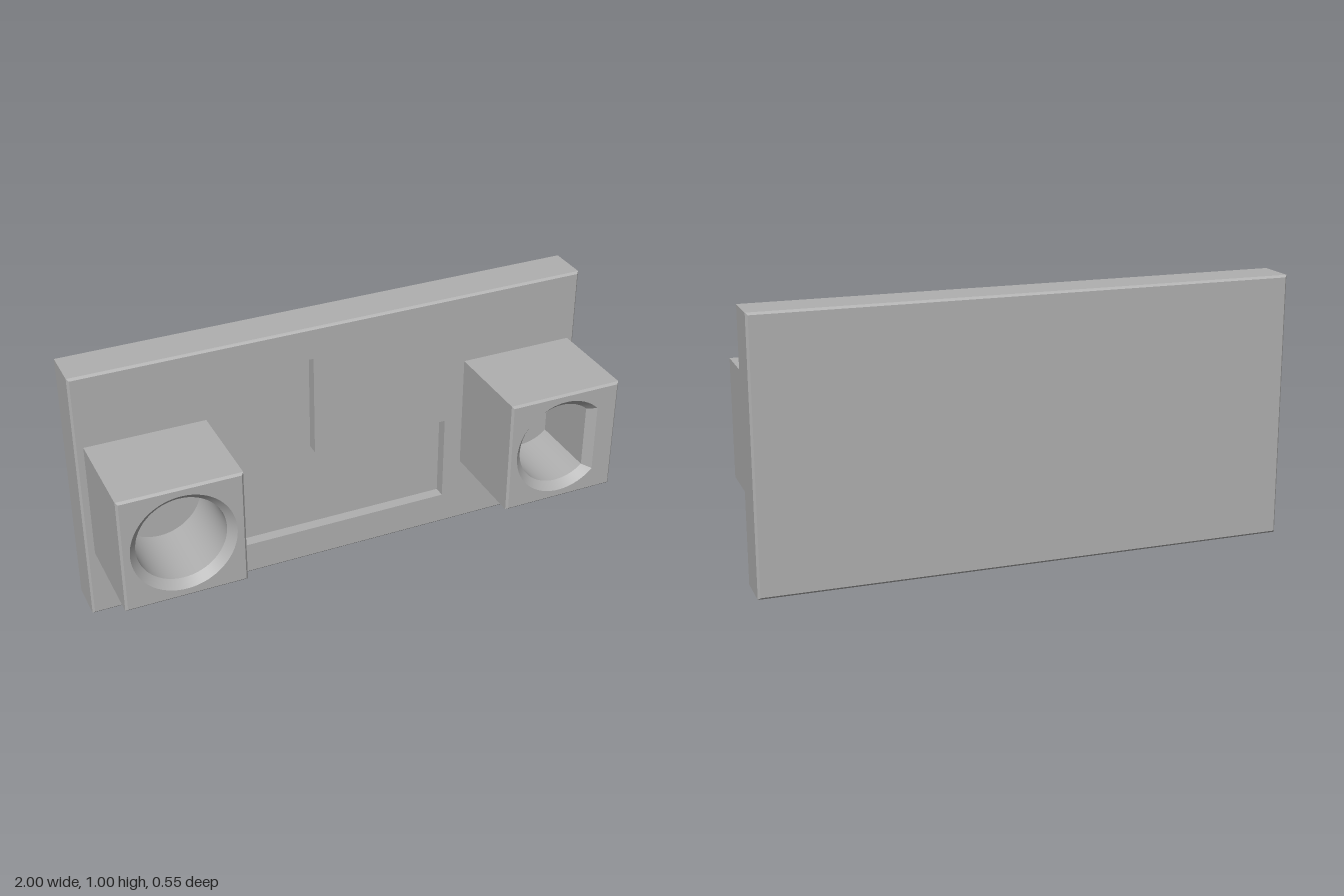
import * as THREE from 'three';
import { mergeGeometries, toCreasedNormals } from 'three/addons/utils/BufferGeometryUtils.js';

const BEVEL = 0.008;
const grey = new THREE.MeshStandardMaterial({ color: 0xb0b0b0 });
grey.name = 'plain grey';

// counter-clockwise rectangle, optionally shrunk on all sides
const rect = (x0, x1, y0, y1, s = 0) => [
  [x0 + s, y0 + s], [x1 - s, y0 + s], [x1 - s, y1 - s], [x0 + s, y1 - s],
];

// counter-clockwise circle, or a D cut off at cx + flat
function round(cx, cy, r, flat, n = 64) {
  const a = flat ? Math.acos(flat / r) : 0;
  const step = (2 * Math.PI - 2 * a) / (flat ? n - 1 : n);
  return Array.from({ length: n }, (_, i) => [
    cx + r * Math.cos(a + i * step), cy + r * Math.sin(a + i * step),
  ]);
}

// walls between successive [loop, z] rings, ordered front to back
function walls(rings, inward = false) {
  const pos = [];
  for (let k = 0; k < rings.length - 1; k++) {
    const [A, za] = rings[k], [B, zb] = rings[k + 1];
    for (let i = 0; i < A.length; i++) {
      const j = (i + 1) % A.length;
      const a = [...A[i], za], a2 = [...A[j], za], b = [...B[i], zb], b2 = [...B[j], zb];
      pos.push(...(inward ? [a, b2, b, a, a2, b2] : [a, b, b2, a, b2, a2]).flat());
    }
  }
  const g = new THREE.BufferGeometry();
  g.setAttribute('position', new THREE.Float32BufferAttribute(pos, 3));
  g.computeVertexNormals();
  return g;
}

// flat face looking forward, or backward
function face(loop, z, hole = null, back = false) {
  const v = (l) => l.map(([x, y]) => new THREE.Vector2(back ? -x : x, y));
  const shape = new THREE.Shape(v(loop));
  if (hole) shape.holes.push(new THREE.Path(v(hole)));
  let g = new THREE.ShapeGeometry(shape);
  if (back) g.rotateY(Math.PI);
  g.translate(0, 0, z);
  g = g.toNonIndexed();
  g.deleteAttribute('uv');
  return g;
}

// bevelled slab with a blind pocket; pocket = [loop, z] rings from mouth to floor
function pocketSlab(name, [x0, x1, y0, y1], zBack, zFront, pocket) {
  const big = rect(x0, x1, y0, y1), small = rect(x0, x1, y0, y1, BEVEL);
  const floor = pocket[pocket.length - 1];
  const geometry = mergeGeometries([
    face(small, zFront, pocket[0][0]),
    walls([[small, zFront], [big, zFront - BEVEL], [big, zBack + BEVEL], [small, zBack]]),
    walls(pocket, true),
    face(floor[0], floor[1]),
    face(small, zBack, null, true),
  ]);
  const mesh = new THREE.Mesh(toCreasedNormals(geometry, Math.PI / 7), grey);
  mesh.name = name;
  return mesh;
}

export function createModel() {
  const model = new THREE.Group();
  model.name = 'mountingPlate';
  const zPlate = -0.108, zFront = 0.275;

  // back plate with a shallow L-shaped recess
  const ell = [[-0.45, 0.13], [0.445, 0.13], [0.445, 0.475], [-0.1, 0.475], [-0.1, 0.875], [-0.45, 0.875]];
  model.add(pocketSlab('backPlate', [-1, 1, 0, 1], -0.275, zPlate, [[ell, zPlate], [ell, zPlate - 0.045]]));

  // socket blocks: a round bore and a D-shaped bore, each with a chamfered mouth
  const blocks = [['rightSocketBlock', -0.745, 0, 0], ['leftSocketBlock', 0.74, 0.14, 0.11]];
  for (const [name, cx, flatMouth, flatBore] of blocks) {
    const mouth = round(cx, 0.502, 0.193, flatMouth);
    const bore = round(cx, 0.502, 0.165, flatBore);
    model.add(pocketSlab(name, [cx - 0.225, cx + 0.225, 0.277, 0.727], zPlate, zFront, [
      [mouth, zFront], [bore, zFront - 0.03], [bore, -0.025],
    ]));
  }
  return model;
}
